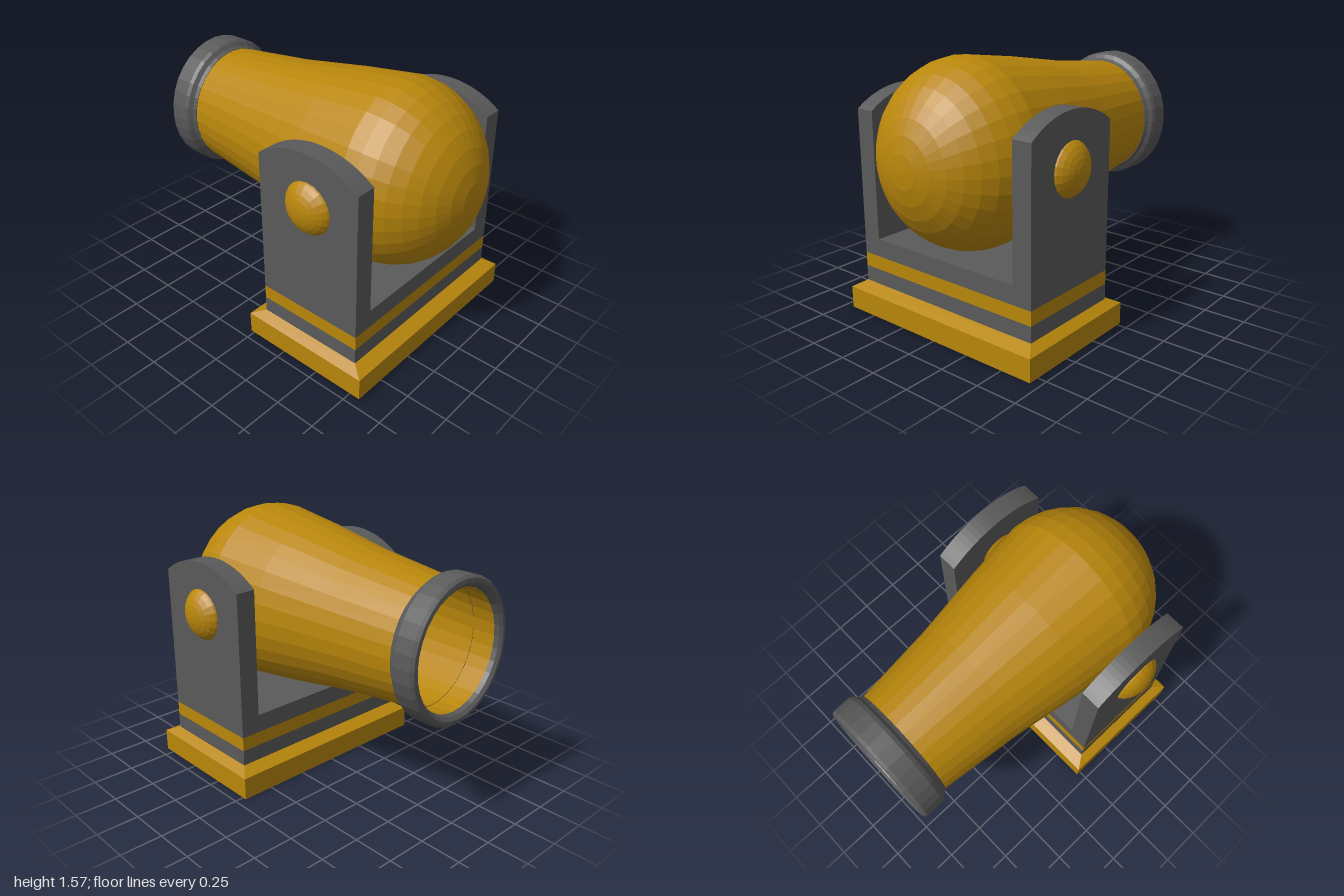
import * as THREE from 'three';

const makeMaterial = (name, color) => {
  const m = new THREE.MeshStandardMaterial({ color, side: THREE.DoubleSide, flatShading: true });
  m.name = name;
  return m;
};

// Open rectangular shell lofted through levels of [y, half width, half depth]
function rectShell(levels) {
  const pos = [], index = [];
  for (const [y, w, d] of levels) pos.push(-w, y, d, w, y, d, w, y, -d, -w, y, -d);
  for (let l = 0; l < levels.length - 1; l++) {
    for (let i = 0; i < 4; i++) {
      const a = l * 4 + i, b = l * 4 + (i + 1) % 4;
      index.push(a, b, b + 4, a, b + 4, a + 4);
    }
  }
  const g = new THREE.BufferGeometry();
  g.setAttribute('position', new THREE.Float32BufferAttribute(pos, 3));
  g.setIndex(index);
  const flat = g.toNonIndexed();
  flat.computeVertexNormals();
  return flat;
}

// Profile of [x, radius] turned about the x axis, slightly narrower in z
function turned(profile) {
  const g = new THREE.LatheGeometry(profile.map(([x, r]) => new THREE.Vector2(r, x)), 32);
  g.rotateZ(-Math.PI / 2);
  g.scale(1, 1, 0.935);
  return g;
}

export function createModel() {
  const gold = makeMaterial('gold', 0xb8860b);
  const iron = makeMaterial('iron grey', 0x5a5a5a);
  const model = new THREE.Group();
  model.name = 'cannon';
  const add = (name, geometry, material, x = 0, y = 0, z = 0) => {
    const mesh = new THREE.Mesh(geometry, material);
    mesh.name = name;
    mesh.position.set(x, y, z);
    model.add(mesh);
    return mesh;
  };

  const cx = 0.395, axisY = 1.022, w = 0.34, d = 0.635;

  // Hollow pedestal: bevelled foot, then grey, gold and grey walls
  add('foot', rectShell([[0, 0.42, 0.693], [0.135, 0.42, 0.693], [0.17, w, d]]), gold, cx);
  add('lowerWalls', rectShell([[0.17, w, d], [0.265, w, d]]), iron, cx);
  add('goldBand', rectShell([[0.265, w, d], [0.35, w, d]]), gold, cx);
  add('upperWalls', rectShell([[0.35, w, d], [0.46, w, d]]), iron, cx);
  add('cradleFloor', new THREE.PlaneGeometry(2 * w, 2 * d).rotateX(-Math.PI / 2), iron, cx, 0.46);

  // Arched side plates and the domed pivots through them
  const arcR = 0.58, arcY = 0.76, half = Math.asin(w / arcR);
  const plate = new THREE.Shape();
  plate.moveTo(-w, 0.46);
  plate.lineTo(w, 0.46);
  plate.absarc(0, arcY, arcR, Math.PI / 2 - half, Math.PI / 2 + half, false);
  plate.closePath();
  const plateGeo = new THREE.ExtrudeGeometry(plate, { depth: 0.12, bevelEnabled: false, curveSegments: 10 });
  plateGeo.translate(0, 0, -0.06);
  const pivotGeo = new THREE.SphereGeometry(0.165, 20, 14);
  pivotGeo.rotateX(Math.PI / 2);
  pivotGeo.scale(1, 1, 0.115 / 0.165);
  for (const [label, s] of [['front', 1], ['back', -1]]) {
    add(label + 'SidePlate', plateGeo, iron, cx, 0, s * 0.575);
    add(label + 'Pivot', pivotGeo, gold, 0.4, 1.025, s * 0.595);
  }

  // Hollow barrel flaring to a rounded breech
  const profile = [[-0.97, 0.35], [-0.81, 0.363], [-0.31, 0.422], [0.12, 0.495]];
  for (let i = 0; i <= 9; i++) {
    const a = (i / 9) * Math.PI / 2;
    profile.push([0.49 + 0.508 * Math.sin(a), i === 9 ? 0 : 0.547 * Math.cos(a)]);
  }
  add('barrel', turned(profile), gold, 0, axisY);

  // Rounded muzzle ring
  add('muzzleRing', turned([
    [-0.96, 0.345], [-0.985, 0.355], [-1, 0.375], [-0.997, 0.398], [-0.98, 0.412],
    [-0.87, 0.412], [-0.848, 0.402], [-0.83, 0.378], [-0.81, 0.366], [-0.81, 0.36],
  ]), iron, 0, axisY);

  return model;
}
